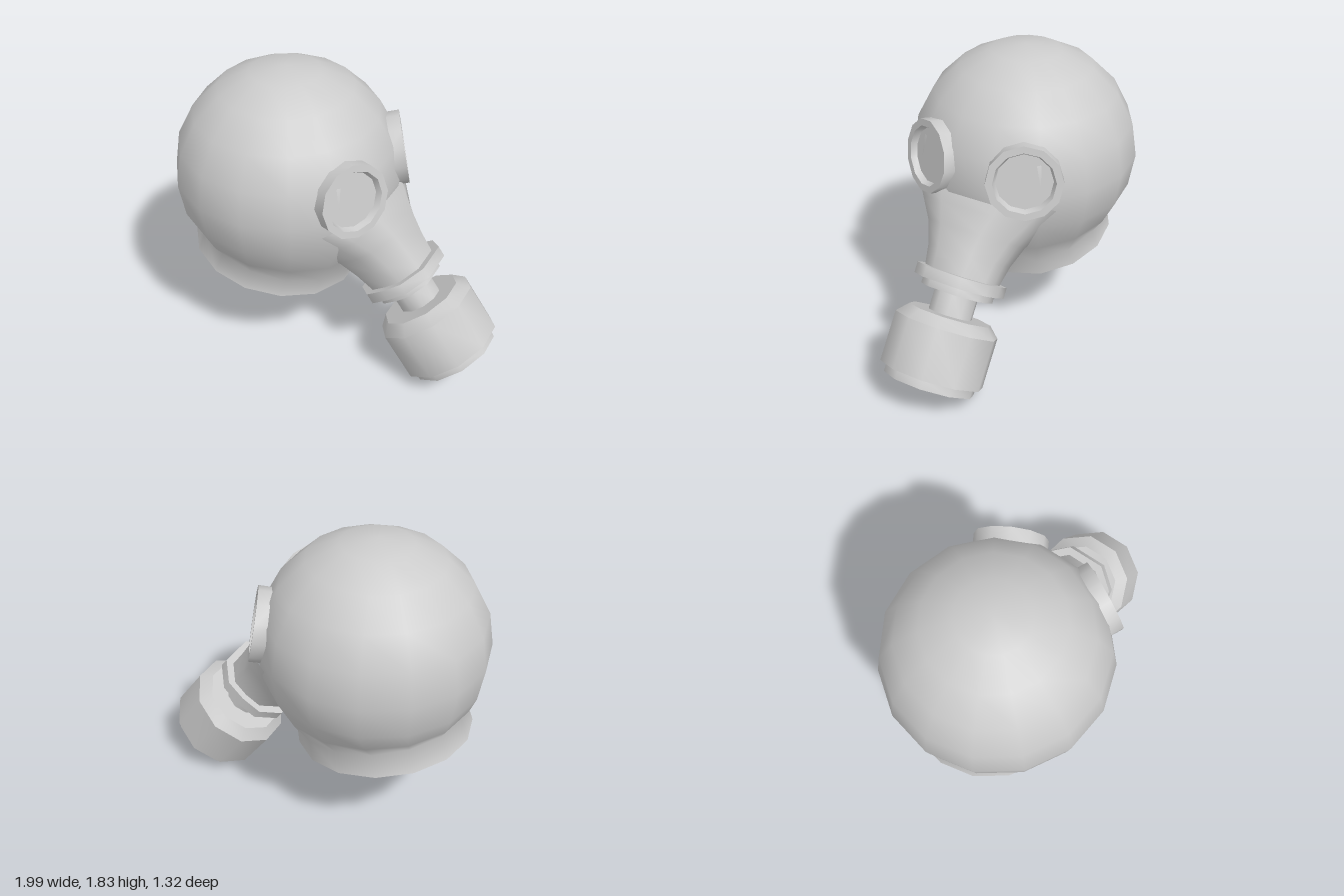
import * as THREE from 'three';
import { toCreasedNormals } from 'three/addons/utils/BufferGeometryUtils.js';

const grey = new THREE.MeshStandardMaterial({ color: 0xcccccc });
const greyOpen = new THREE.MeshStandardMaterial({ color: 0xcccccc, side: THREE.DoubleSide });

// Skin closed rings of [x, y, z] points, listed from bottom to top.
function loft(rings, crease) {
  const n = rings[0].length;
  const index = [];
  for (let j = 0; j < rings.length - 1; j++) {
    for (let i = 0; i < n; i++) {
      const a = j * n + i, b = j * n + (i + 1) % n;
      index.push(a, b, a + n, b + n, a + n, b);
    }
  }
  const geo = new THREE.BufferGeometry();
  geo.setAttribute('position', new THREE.Float32BufferAttribute(rings.flat(2), 3));
  geo.setIndex(index);
  return toCreasedNormals(geo, crease);
}

function lathe(profile, sides) {
  const points = profile.map(([r, y]) => new THREE.Vector2(r, y));
  return toCreasedNormals(new THREE.LatheGeometry(points, sides), 0.7);
}

function part(name, geo, material = grey) {
  const mesh = new THREE.Mesh(geo, material);
  mesh.name = name;
  return mesh;
}

const HEAD = new THREE.Vector3(-0.335, 1.19, 0);

// Hood: sphere down to the cheeks, pulled into a tilted neck, then a flared hem.
function hoodGeometry() {
  const sides = 15;
  const ring = (f) => Array.from({ length: sides }, (_, i) => {
    const a = (i / sides) * Math.PI * 2;
    return f(-Math.cos(a), Math.sin(a));
  });
  const ball = (deg) => {
    const t = THREE.MathUtils.degToRad(deg), r = 0.665 * Math.sin(t);
    return ring((c, s) => [HEAD.x + r * c, HEAD.y + 0.65 * Math.cos(t), r * s]);
  };
  const hem = ring((c, s) => {
    const x = -0.425 + 0.515 * c;
    return [x, Math.max(0.54, 0.69 - 0.16 * (x + 0.94)), 0.5 * s];
  });
  const neck = ring((c, s) => {
    const x = -0.39 + 0.5 * c;
    return [x, 0.83 - 0.21 * (x + 0.89), 0.47 * s];
  });
  const cheek = ball(108);
  // Slightly bulged step between neck and cheek
  const jaw = neck.map((p, i) => p.map((v, k) => (v + cheek[i][k]) / 2 + (k === 1 ? -0.02 : 0)));
  const rings = [hem, neck, jaw, cheek];
  for (let deg = 90; deg >= 0; deg -= 18) rings.push(ball(deg));
  return loft(rings, 1.2);
}

// Rounded ten-sided section across the snout axis (local y).
const SECTION = [[0, 1], [0.54, 0.94], [1, 0.46], [1, -0.46], [0.54, -0.94],
  [0, -1], [-0.54, -0.94], [-1, -0.46], [-1, 0.46], [-0.54, 0.94]];
const section = ([h, z, top, bottom = top]) =>
  SECTION.map(([w, s]) => [w * (w > 0 ? top : bottom), h, s * z]);

function snoutGeometry() {
  // Head centre in the snout's local frame; inner points rest just under the hood
  const centre = new THREE.Vector3(-0.3, 1.495, 0);
  const rings = [
    [0.65, 0.21, 0.19], [0.77, 0.23, 0.19, 0.24], [0.9, 0.28, 0.195, 0.27],
    [1.02, 0.36, 0.2, 0.27], [1.15, 0.45, 0.2, 0.25],
  ].map(section).map((ring) => ring.map((p) => {
    const d = new THREE.Vector3(...p).sub(centre);
    if (d.length() < 0.62) d.setLength(0.62);
    return d.add(centre).toArray();
  }));
  return loft(rings, 1.2);
}

function createEye(side) {
  const eye = new THREE.Group();
  eye.name = side > 0 ? 'leftEyepiece' : 'rightEyepiece';
  const out = new THREE.Vector3(0.87, 0.17, 0.465 * side).normalize();
  eye.position.copy(HEAD).addScaledVector(out, 0.685);
  eye.quaternion.setFromUnitVectors(new THREE.Vector3(0, 1, 0), out);
  eye.add(part('eyeRim', lathe([[0.215, -0.1], [0.215, 0], [0.175, 0], [0.16, -0.035]], 12)));
  const lens = part('lens', lathe([[0.165, -0.035], [0, -0.035]], 12));
  eye.add(lens);
  return eye;
}

export function createModel() {
  const model = new THREE.Group();
  model.name = 'gasMask';
  model.add(part('hood', hoodGeometry(), greyOpen));
  for (const side of [1, -1]) model.add(createEye(side));

  // Breathing assembly: local y runs from the filter's end back to the face
  const breather = new THREE.Group();
  breather.name = 'breather';
  breather.position.set(0.785, 0.16, 0);
  breather.rotation.z = 0.631;
  breather.add(part('snout', snoutGeometry(), greyOpen));
  breather.add(part('collar', loft([
    [0.54, 0, 0], [0.54, 0.2, 0.185], [0.585, 0.2, 0.185],
    [0.585, 0.25, 0.235], [0.65, 0.25, 0.235], [0.65, 0.19, 0.17],
  ].map(section), 0.85)));
  breather.add(part('pipe', lathe([[0.13, 0.4], [0.13, 0.55]], 10)));
  breather.add(part('filterCanister', lathe([
    [0, 0], [0.27, 0], [0.27, 0.055], [0.308, 0.055],
    [0.308, 0.35], [0.245, 0.412], [0, 0.412],
  ], 10)));
  model.add(breather);
  return model;
}
